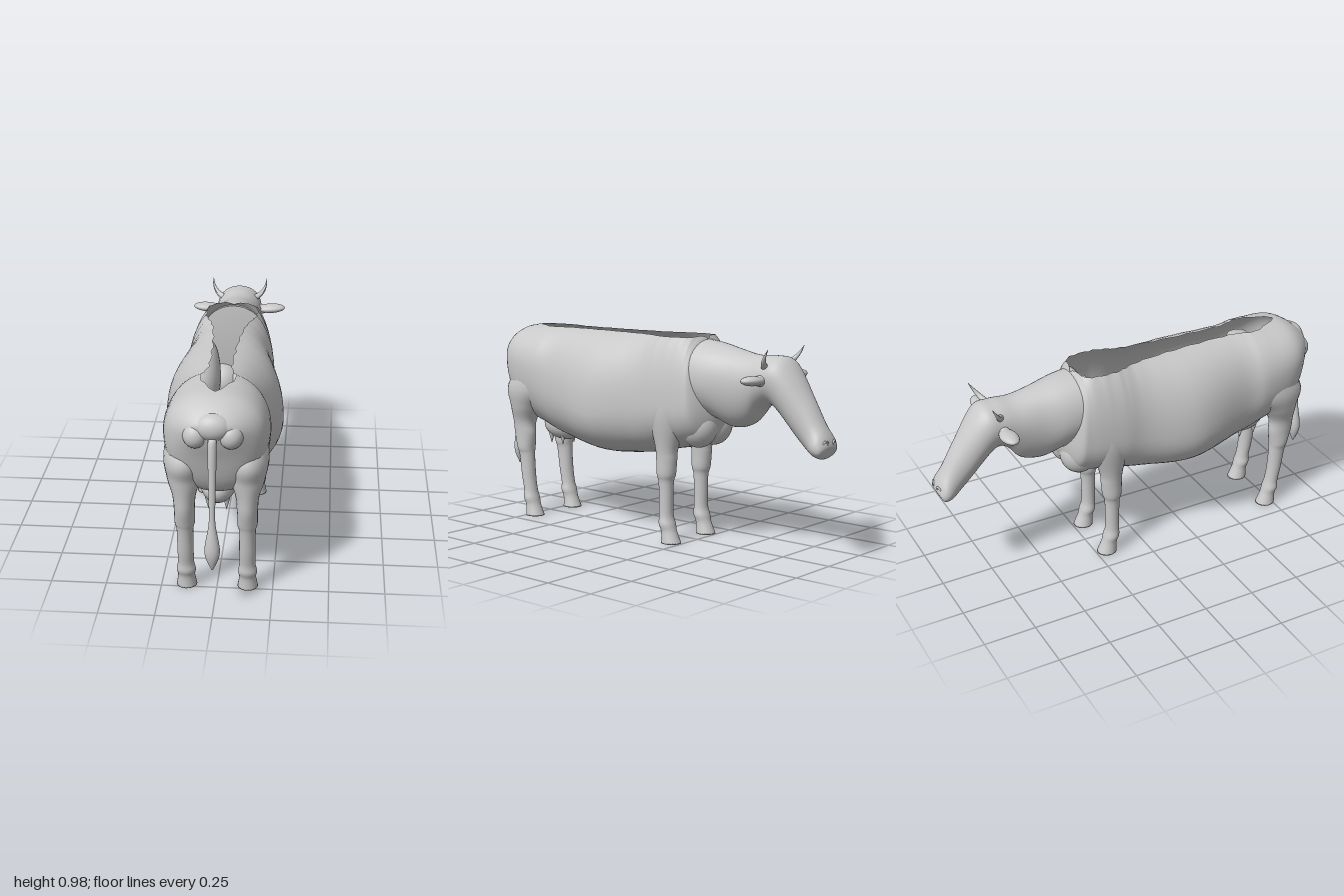
import * as THREE from 'three';
import { mergeVertices } from 'three/addons/utils/BufferGeometryUtils.js';

const hide = new THREE.MeshStandardMaterial({ color: 0xc8c8c8, side: THREE.DoubleSide });
hide.name = 'hide';

// Smoothly subdivide a list of stations, column by column
function smooth(st, sub = 6) {
  const out = [];
  const at = (i) => st[Math.max(0, Math.min(st.length - 1, i))];
  for (let i = 0; i < st.length - 1; i++) {
    for (let s = 0; s < sub; s++) {
      const t = s / sub;
      out.push(st[i].map((b, k) => {
        const a = at(i - 1)[k], c = at(i + 1)[k], d = at(i + 2)[k];
        return b + 0.5 * t * (c - a + t * (2 * a - 5 * b + 4 * c - d + t * (3 * (b - c) + d - a)));
      }));
    }
  }
  out.push(st[st.length - 1]);
  return out;
}

// Skin a list of rings with smooth normals and close both ends
function skin(rings) {
  const n = rings[0].length, pos = rings.flat(2), idx = [];
  for (let i = 0; i < rings.length - 1; i++) {
    for (let j = 0; j < n - 1; j++) {
      const a = i * n + j, c = a + n;
      idx.push(a, a + 1, c, a + 1, c + 1, c);
    }
  }
  for (const i of [0, rings.length - 1]) {
    const k = pos.length / 3;
    pos.push(...[0, 1, 2].map((q) => rings[i].reduce((s, p) => s + p[q], 0) / n));
    for (let a = i * n; a < i * n + n - 1; a++) idx.push(k, ...(i ? [a, a + 1] : [a + 1, a]));
  }
  let g = new THREE.BufferGeometry();
  g.setAttribute('position', new THREE.Float32BufferAttribute(pos, 3));
  g.setIndex(idx);
  g = mergeVertices(g, 1e-4);
  g.computeVertexNormals();
  return g;
}

// Oval rings: [topZ, topY, bottomZ, bottomY, halfWidth, widestAt, openHalfWidth]
function trunk(stations, upper, lower) {
  const N = 48;
  return skin(smooth(stations).map(([zt, yt, zb, yb, hw, f, op = 0], i) => {
    const open = op > 0.012 ? op + 0.005 * Math.sin(i * 2.3) : 0;
    const a0 = Math.asin(Math.min(0.95, Math.pow(open / hw, upper / 2)));
    const lift = 1 / Math.pow(Math.cos(a0), 2 / upper);
    const ring = [];
    for (let j = 0; j <= N; j++) {
      const a = a0 + (2 * Math.PI - 2 * a0) * j / N;
      const s = Math.sin(a), c = Math.cos(a), e = 2 / (c > 0 ? upper : lower);
      const x = hw * Math.sign(s) * Math.pow(Math.abs(s), e);
      const v = Math.pow(Math.abs(c), e);
      const h = f + (c > 0 ? (1 - f) * lift * v : -f * v);
      ring.push([x, yb + (yt - yb) * h, zb + (zt - zb) * h]);
    }
    return ring;
  }));
}

// Upright elliptical rings about a fixed x: [y, z, radiusX, radiusZ]
function limb(x, stations) {
  const N = 24;
  return skin(smooth(stations).map(([y, z, rx, rz]) => {
    const ring = [];
    for (let j = 0; j <= N; j++) {
      const a = 2 * Math.PI * j / N;
      ring.push([x + rx * Math.cos(a), y, z + rz * Math.sin(a)]);
    }
    return ring;
  }));
}

// Fetlock and hoof, shared by all legs, set by the z of the shank
const foot = (z) => [
  [0.13, z, 0.036, 0.034], [0.09, z - 0.006, 0.043, 0.039],
  [0.055, z - 0.017, 0.038, 0.038], [0, z - 0.03, 0.046, 0.049],
];

export function createModel() {
  const group = new THREE.Group();
  const add = (name, geo) => {
    const m = new THREE.Mesh(geo, hide);
    m.name = name;
    group.add(m);
    return m;
  };
  const ball = (name, p, r) => {
    const m = add(name, new THREE.SphereGeometry(1, 28, 18));
    m.position.set(...p);
    m.scale.set(...r);
    return m;
  };

  // Barrel of the body, left open along the spine
  add('body', trunk([
    [0.95, 0.87, 0.93, 0.8, 0.02, 0.5, 0],
    [0.93, 0.905, 0.9, 0.72, 0.12, 0.55, 0],
    [0.82, 0.972, 0.82, 0.53, 0.212, 0.6, 0],
    [0.65, 0.975, 0.65, 0.46, 0.23, 0.56, 0.075],
    [0.52, 0.975, 0.52, 0.42, 0.222, 0.48, 0.05],
    [0.25, 0.975, 0.25, 0.38, 0.27, 0.4, 0.055],
    [0, 0.975, 0, 0.4, 0.217, 0.42, 0.08],
    [-0.13, 0.975, -0.13, 0.43, 0.21, 0.42, 0.12],
    [-0.27, 0.975, -0.29, 0.465, 0.19, 0.38, 0.105],
    [-0.31, 0.965, -0.36, 0.505, 0.165, 0.38, 0],
    [-0.39, 0.8, -0.405, 0.62, 0.04, 0.5, 0],
  ], 2.2, 2.2));

  // Neck, dewlap, skull and muzzle in one sweep
  add('neckAndHead', trunk([
    [-0.28, 0.967, -0.29, 0.62, 0.16, 0.5],
    [-0.38, 0.955, -0.39, 0.6, 0.15, 0.5],
    [-0.5, 0.93, -0.48, 0.57, 0.125, 0.55],
    [-0.6, 0.912, -0.58, 0.595, 0.115, 0.58],
    [-0.7, 0.916, -0.645, 0.67, 0.112, 0.55],
    [-0.78, 0.895, -0.71, 0.685, 0.11, 0.55],
    [-0.89, 0.74, -0.83, 0.56, 0.077, 0.5],
    [-0.95, 0.64, -0.88, 0.512, 0.068, 0.5],
    [-0.985, 0.58, -0.925, 0.485, 0.08, 0.5],
    [-0.998, 0.54, -0.965, 0.478, 0.066, 0.5],
    [-0.992, 0.522, -0.982, 0.497, 0.02, 0.5],
  ], 2.1, 1.9));

  // Tail root, tail and tuft
  ball('tailRoot', [0, 0.865, 0.905], [0.08, 0.06, 0.055]);
  add('tail', limb(0, [
    [0.825, 0.93, 0.008, 0.01], [0.8, 0.945, 0.019, 0.02], [0.58, 0.965, 0.015, 0.013],
    [0.45, 0.97, 0.014, 0.013], [0.31, 0.972, 0.033, 0.028], [0.225, 0.972, 0.004, 0.004],
  ]));

  ball('udder', [0, 0.47, 0.63], [0.08, 0.08, 0.13]);

  for (const s of [1, -1]) {
    // Legs run from inside the body down to the hooves
    add('hindLeg', limb(s * 0.137, [
      [0.86, 0.68, 0.04, 0.05], [0.68, 0.73, 0.09, 0.145], [0.57, 0.765, 0.077, 0.095],
      [0.49, 0.785, 0.052, 0.066], [0.42, 0.783, 0.046, 0.062], [0.35, 0.778, 0.045, 0.048],
      [0.31, 0.773, 0.037, 0.042], [0.2, 0.762, 0.036, 0.036], ...foot(0.75),
    ]));
    add('frontLeg', limb(s * 0.13, [
      [0.84, -0.185, 0.02, 0.02], [0.76, -0.185, 0.06, 0.075], [0.62, -0.175, 0.075, 0.1],
      [0.46, -0.168, 0.052, 0.058], [0.4, -0.167, 0.047, 0.052], [0.33, -0.165, 0.045, 0.047],
      [0.29, -0.164, 0.036, 0.037], [0.2, -0.164, 0.034, 0.034], ...foot(-0.165),
    ]));

    ball('pinBone', [s * 0.075, 0.825, 0.9], [0.053, 0.058, 0.055]);
    ball('brisket', [s * 0.055, 0.56, -0.3], [0.09, 0.1, 0.09]);

    for (const z of [0.61, 0.69]) {
      const teat = add('teat', new THREE.ConeGeometry(0.016, 0.06, 14));
      teat.position.set(s * 0.04, 0.395, z);
      teat.rotation.x = Math.PI;
    }

    // Ears: narrow root and a broad, flat tip
    ball('ear', [s * 0.165, 0.815, -0.69], [0.072, 0.022, 0.04]).rotation.z = s * 0.06;
    ball('earRoot', [s * 0.105, 0.81, -0.69], [0.05, 0.025, 0.028]);

    // Horns: tapering tubes that curl outward and up
    const path = new THREE.QuadraticBezierCurve3(
      new THREE.Vector3(s * 0.07, 0.865, -0.69),
      new THREE.Vector3(s * 0.14, 0.89, -0.715),
      new THREE.Vector3(s * 0.138, 0.955, -0.752),
    );
    const horn = new THREE.TubeGeometry(path, 16, 0.019, 12);
    const p = horn.attributes.position, v = new THREE.Vector3();
    for (let i = 0; i < p.count; i++) {
      const t = Math.floor(i / 13) / 16;
      v.fromBufferAttribute(p, i).lerp(path.getPointAt(t), 0.95 * t);
      p.setXYZ(i, v.x, v.y, v.z);
    }
    horn.computeVertexNormals();
    add('horn', horn);

    const nostril = add('nostril', new THREE.TorusGeometry(0.013, 0.005, 8, 18));
    nostril.position.set(s * 0.032, 0.55, -0.99);
    nostril.rotation.set(-0.25, -s * 0.3, 0);
  }
  return group;
}
